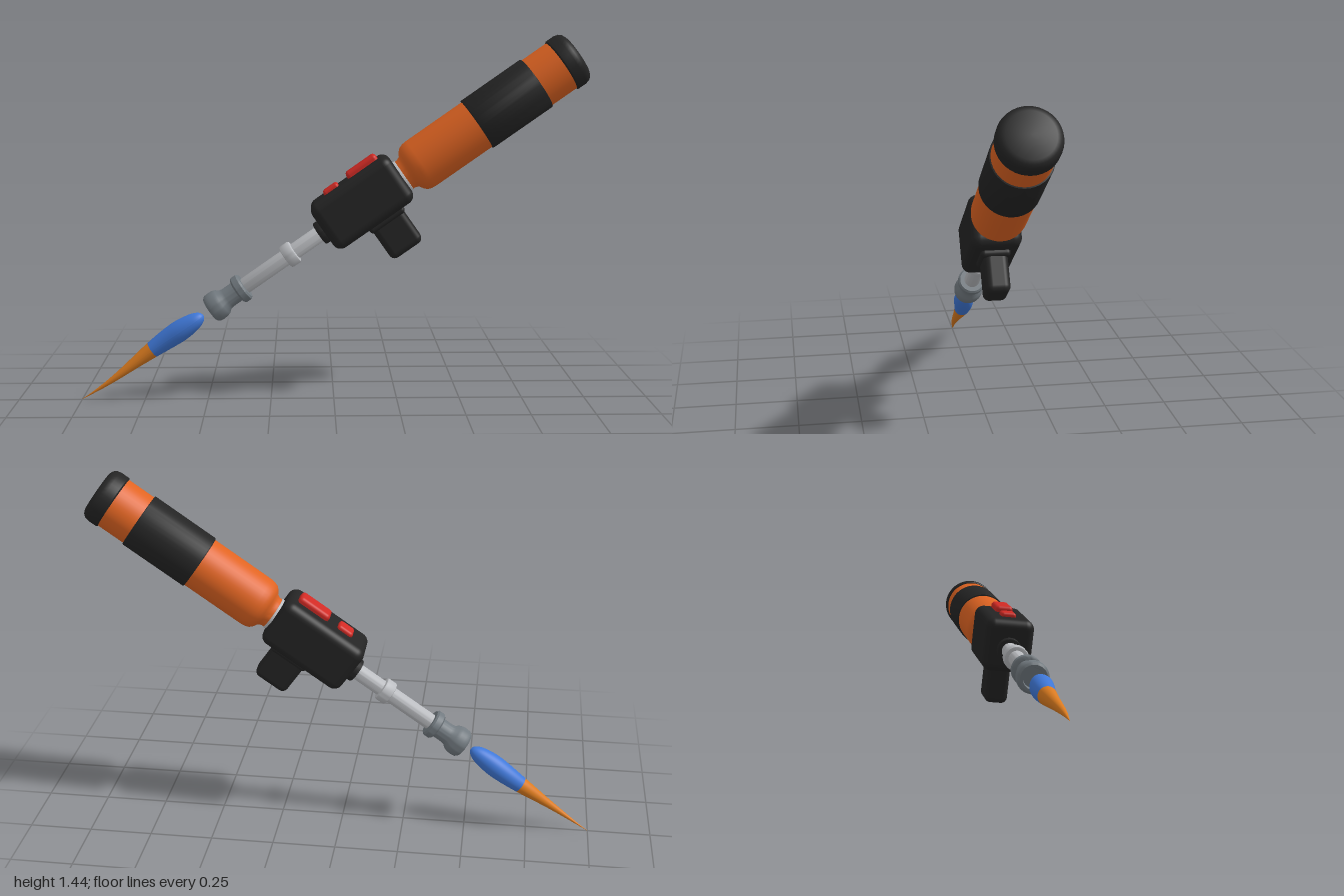
import * as THREE from 'three';
import { toCreasedNormals } from 'three/addons/utils/BufferGeometryUtils.js';
import { RoundedBoxGeometry } from 'three/addons/geometries/RoundedBoxGeometry.js';

const material = (name, color) => {
  const m = new THREE.MeshStandardMaterial({ color });
  m.name = name;
  return m;
};

export function createModel() {
  const orange = material('tankOrange', 0xe06422);
  const black = material('rubberBlack', 0x242424);
  const silver = material('tubeSilver', 0xbcbec2);
  const steel = material('nozzleSteel', 0x727a80);
  const red = material('buttonRed', 0xd02a24);
  const blue = material('flameBlue', 0x3f78d8);
  const amber = material('flameAmber', 0xdd7c1f);

  // The tool is built along local x, then tilted as a whole
  const tool = new THREE.Group();
  tool.name = 'torch';
  tool.rotation.z = THREE.MathUtils.degToRad(35);
  tool.position.y = 0.705;

  const add = (name, geometry, mat) => {
    const mesh = new THREE.Mesh(geometry, mat);
    mesh.name = name;
    tool.add(mesh);
    return mesh;
  };
  // Turned part: profile of [radius, position along the axis]
  const lathe = (profile) => new THREE.LatheGeometry(
    profile.map(([r, a]) => new THREE.Vector2(r, a)), 40).rotateZ(-Math.PI / 2);
  const turned = (name, profile, mat) => add(name, toCreasedNormals(lathe(profile), 0.6), mat);
  // Closed ring or drum with a small bevel
  const drum = (name, a, b, r, bevel, mat) => turned(name, [
    [0, a], [r - bevel, a], [r - bevel * 0.3, a + bevel * 0.3], [r, a + bevel],
    [r, b - bevel], [r - bevel * 0.3, b - bevel * 0.3], [r - bevel, b], [0, b]], mat);
  // Rounded block given by its limits along and across the axis
  const block = (name, x0, x1, y0, y1, width, radius, mat) => add(name,
    new RoundedBoxGeometry(x1 - x0, y1 - y0, width, 5, radius)
      .translate((x0 + x1) / 2, (y0 + y1) / 2, 0), mat);

  // Gas tank
  turned('tank', [[0, 0.32], [0.064, 0.32], [0.064, 0.345], [0.07, 0.358], [0.086, 0.368],
    [0.097, 0.379], [0.103, 0.395], [0.105, 0.415], [0.105, 1.09], [0, 1.09]], orange);
  drum('tankGrip', 0.677, 0.958, 0.111, 0.004, black);
  turned('tankCap', [[0, 1.072], [0.107, 1.072], [0.111, 1.077], [0.111, 1.112],
    [0.107, 1.128], [0.098, 1.139], [0.084, 1.145], [0, 1.147]], black);
  drum('tankCollar', 0.29, 0.336, 0.067, 0.006, silver);

  // Control body with grip
  block('controlBody', -0.045, 0.325, -0.093, 0.116, 0.192, 0.036, black);
  drum('tubeSocket', -0.07, -0.02, 0.048, 0.006, black);
  block('gripBase', 0.1, 0.262, -0.115, -0.06, 0.112, 0.015, black);
  block('grip', 0.108, 0.254, -0.25, -0.06, 0.092, 0.025, black);

  // Buttons on top
  block('mainButton', 0.148, 0.288, 0.095, 0.14, 0.07, 0.015, red);
  block('smallButton', 0.036, 0.104, 0.095, 0.132, 0.06, 0.012, red);

  // Feed tube and nozzle
  drum('feedTube', -0.46, 0, 0.032, 0.002, silver);
  drum('tubeRing', -0.232, -0.186, 0.048, 0.008, silver);
  turned('nozzle', [[0, -0.575], [0.036, -0.575], [0.04, -0.594], [0.05, -0.594], [0.058, -0.585],
    [0.06, -0.57], [0.059, -0.55], [0.054, -0.536], [0.044, -0.524], [0.041, -0.51],
    [0.041, -0.466], [0.05, -0.464], [0.057, -0.457], [0.057, -0.434], [0.05, -0.427],
    [0, -0.427]], steel);

  // Flame: a tapering teardrop with a gentle wave, split into two colours
  const outline = new THREE.SplineCurve([[0, -1.224], [0.007, -1.13], [0.018, -1.01],
    [0.033, -0.877], [0.041, -0.79], [0.042, -0.73], [0.033, -0.67], [0.018, -0.638], [0, -0.628]]
    .map(([r, a]) => new THREE.Vector2(r, a)));
  const flame = (name, from, to, mat) => {
    const profile = [];
    for (let i = 0; i <= 20; i++) {
      const p = outline.getPoint(from + (to - from) * i / 20);
      profile.push([Math.max(0, p.x), p.y]);
    }
    const geometry = lathe(profile);
    const pos = geometry.attributes.position;
    for (let i = 0; i < pos.count; i++) {
      const t = (-0.628 - pos.getX(i)) / 0.596;
      pos.setY(i, pos.getY(i) + 0.006 * Math.sin(t * Math.PI * 2) * t);
      pos.setZ(i, pos.getZ(i) + 0.007 * Math.cos(t * Math.PI * 2.6));
    }
    geometry.computeVertexNormals();
    add(name, geometry, mat);
  };
  flame('flameTip', 0, 3 / 8, amber);
  flame('flameCore', 3 / 8, 1, blue);

  const model = new THREE.Group();
  model.name = 'gasTorch';
  model.add(tool);
  return model;
}
